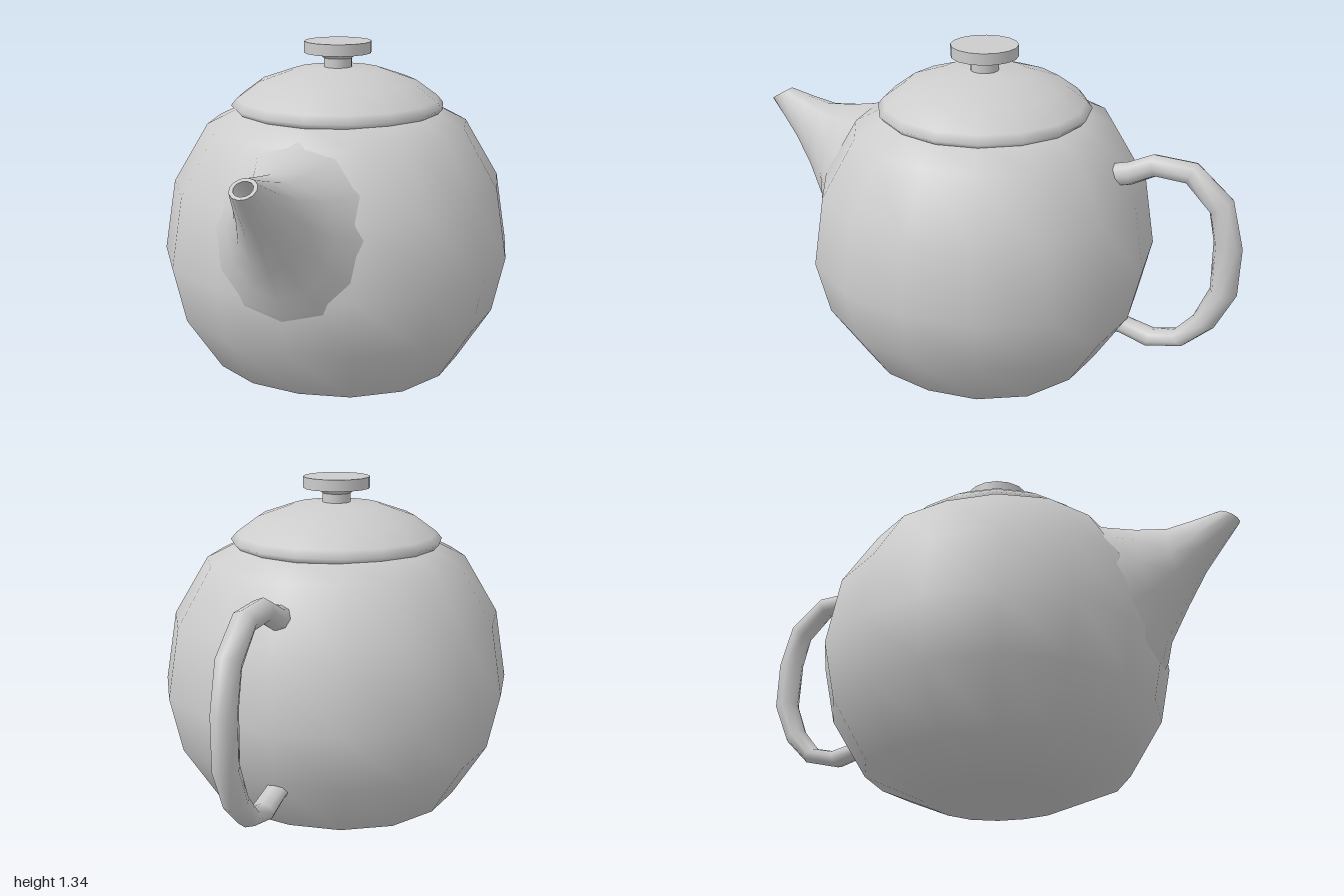
import * as THREE from 'three';

const SIDES = 16;
const CENTRE_Z = 0.016;

// Turned part from [radius, height] points, bottom to top
function turned(points) {
  return new THREE.LatheGeometry(points.map(([r, y]) => new THREE.Vector2(r, y)), SIDES);
}

// Skin over elliptical rings, each given by two opposite points in the
// side plane and a half width: [z1, y1, z2, y2, halfWidth]
function loft(rings, sides = 8) {
  const pos = [], index = [];
  for (const [z1, y1, z2, y2, w] of rings) {
    for (let j = 0; j < sides; j++) {
      const a = (j / sides) * Math.PI * 2;
      const c = Math.cos(a) / 2;
      pos.push(Math.sin(a) * w, (y1 + y2) / 2 + c * (y1 - y2), (z1 + z2) / 2 + c * (z1 - z2));
    }
  }
  for (let i = 0; i < rings.length - 1; i++) {
    for (let j = 0; j < sides; j++) {
      const k = (j + 1) % sides;
      const a = i * sides + j, b = i * sides + k;
      index.push(a, a + sides, b, b, a + sides, b + sides);
    }
  }
  const g = new THREE.BufferGeometry();
  g.setAttribute('position', new THREE.Float32BufferAttribute(pos, 3));
  g.setIndex(index);
  g.computeVertexNormals();
  return g;
}

export function createModel() {
  const model = new THREE.Group();
  model.name = 'teapot';
  const glaze = new THREE.MeshStandardMaterial({ color: 0xcccccc, side: THREE.DoubleSide });
  glaze.name = 'grey glaze';

  const add = (name, geometry, parent, y = 0, z = 0) => {
    const mesh = new THREE.Mesh(geometry, glaze);
    mesh.name = name;
    mesh.position.set(0, y, z);
    parent.add(mesh);
    return mesh;
  };

  // Round body, slightly fuller on the diagonals
  const body = turned([
    [0, 0.005], [0.27, 0.027], [0.49, 0.122], [0.62, 0.337], [0.665, 0.552],
    [0.62, 0.82], [0.49, 1.04], [0.38, 1.095], [0.28, 1.14], [0, 1.17],
  ]);
  const p = body.attributes.position;
  for (let i = 0; i < p.count; i++) {
    const s = Math.sin(2 * Math.atan2(p.getX(i), p.getZ(i)));
    const f = 1 + 0.035 * s * s;
    p.setX(i, p.getX(i) * f);
    p.setZ(i, p.getZ(i) * f * 0.99);
  }
  add('body', body, model, 0, CENTRE_Z);

  // Spout flaring out of the body, with a lip and a hollow mouth
  const spout = new THREE.Group();
  spout.name = 'spout';
  model.add(spout);
  add('spoutWall', loft([
    [0.40, 1.08, 0.62, 0.42, 0.33],
    [0.51, 1.043, 0.672, 0.49, 0.265],
    [0.62, 1.022, 0.692, 0.56, 0.195],
    [0.735, 1.01, 0.775, 0.695, 0.125],
    [0.83, 1.027, 0.855, 0.82, 0.085],
    [0.92, 1.045, 1.0, 0.997, 0.045],
  ], 12), spout);
  add('spoutLip', loft([
    [0.92, 1.045, 1.0, 0.997, 0.045],
    [0.932, 1.038, 0.988, 1.004, 0.032],
  ], 12), spout);
  add('spoutMouth', loft([
    [0.932, 1.038, 0.988, 1.004, 0.032],
    [0.84, 0.97, 0.88, 0.92, 0.032],
    [0.86, 0.945, 0.86, 0.945, 0],
  ], 12), spout);

  // Ring handle at the back: outer point, inner point, half width
  add('handle', loft([
    [-0.53, 0.27, -0.53, 0.36, 0.042],
    [-0.575, 0.275, -0.60, 0.335, 0.042],
    [-0.68, 0.245, -0.70, 0.315, 0.044],
    [-0.83, 0.285, -0.78, 0.335, 0.045],
    [-0.93, 0.385, -0.85, 0.42, 0.045],
    [-1.0, 0.54, -0.9, 0.55, 0.045],
    [-1.0, 0.73, -0.895, 0.74, 0.045],
    [-0.95, 0.91, -0.87, 0.85, 0.045],
    [-0.81, 1.025, -0.78, 0.945, 0.045],
    [-0.65, 1.03, -0.67, 0.95, 0.045],
    [-0.56, 0.985, -0.58, 0.90, 0.042],
    [-0.47, 0.96, -0.49, 0.87, 0.042],
  ]), model);

  // Domed lid with a rolled rim
  const lid = new THREE.Group();
  lid.name = 'lid';
  lid.position.z = CENTRE_Z;
  model.add(lid);
  add('lidDome', turned([
    [0.30, 1.10], [0.35, 1.084], [0.388, 1.09], [0.406, 1.11],
    [0.383, 1.137], [0.30, 1.197], [0.17, 1.242], [0, 1.256],
  ]), lid);

  // Knob on a short neck
  const cyl = (top, bottom, h) => new THREE.CylinderGeometry(top, bottom, h, SIDES);
  add('knobNeck', cyl(0.053, 0.053, 0.06), lid, 1.26);
  add('knobCollar', cyl(0.075, 0.056, 0.02), lid, 1.296);
  add('knobTop', cyl(0.127, 0.127, 0.043), lid, 1.3265);

  return model;
}
